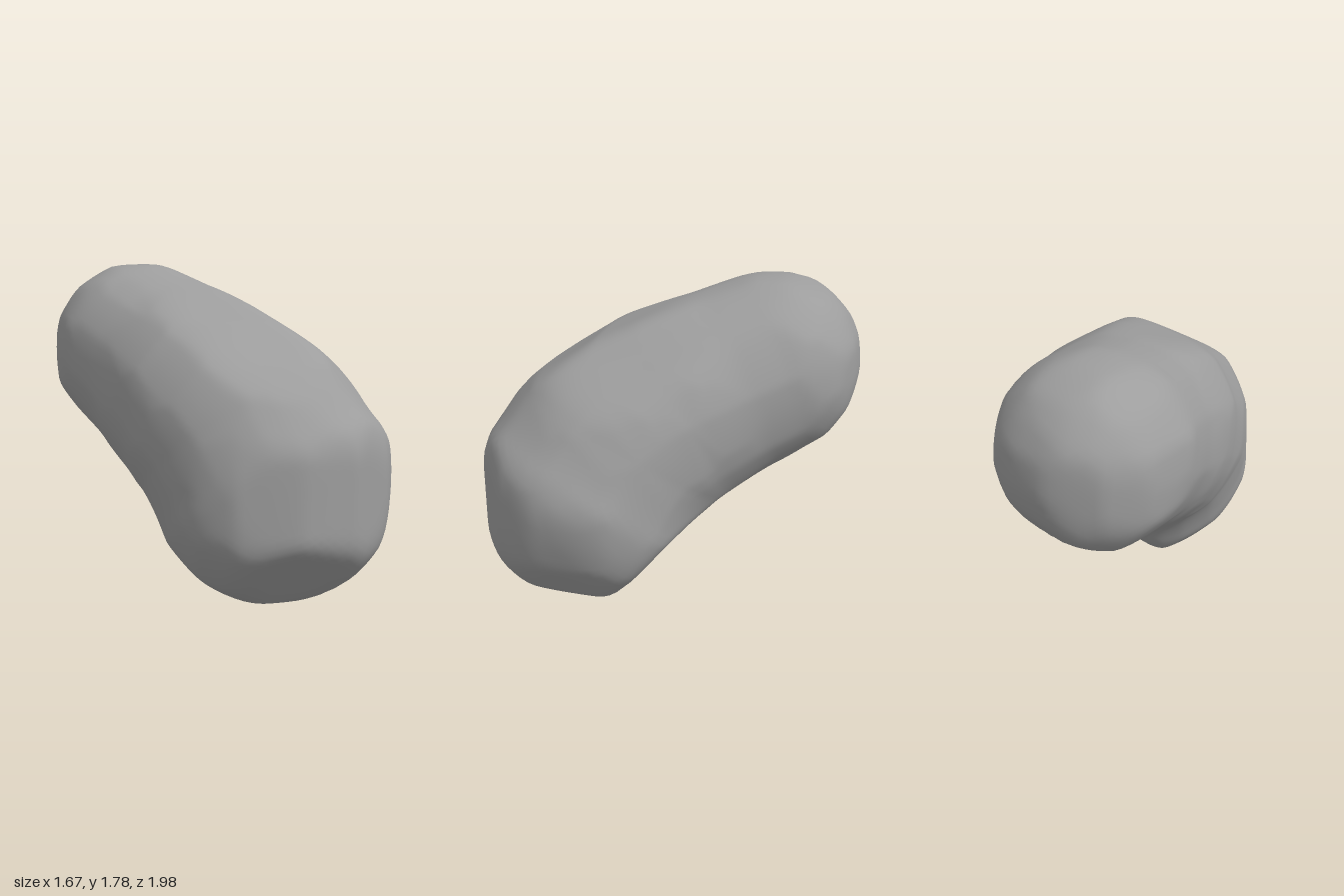
import * as THREE from 'three';
import { mergeVertices } from 'three/addons/utils/BufferGeometryUtils.js';

// Outlines of the boulder along each axis
const FRONT = [ // x, y
  [-.845, 1.13], [-.85, 1.31], [-.82, 1.49], [-.7, 1.68], [-.51, 1.79], [-.24, 1.815], [-.01, 1.7], [.2, 1.55],
  [.71, 1.16], [.84, .8], [.84, .74], [.765, .43], [.59, .2], [.4, .07], [.27, .015], [.14, 0], [0, .015],
  [-.135, .08], [-.28, .19], [-.4, .345], [-.48, .5], [-.54, .66], [-.66, .87], [-.73, .96],
];
const SIDE = [ // z, y
  [1, .47], [.99, .9], [.86, 1.18], [.69, 1.31], [.37, 1.52], [.1, 1.63], [-.14, 1.73], [-.4, 1.81], [-.56, 1.81],
  [-.81, 1.73], [-.91, 1.61], [-.98, 1.47], [-1, 1.28], [-.95, 1.1], [-.855, .96], [-.655, .81], [-.4, .69],
  [-.18, .56], [-.1, .5], [.22, .13], [.35, .045], [.49, 0], [.6, .05], [.8, .25],
];
const TOP = [ // x, z
  [-.46, -1], [-.25, -1], [-.02, -.92], [.14, -.75], [.32, -.47], [.42, -.32], [.61, -.12], [.8, .12], [.845, .4],
  [.83, .52], [.7, .75], [.465, .925], [.17, .99], [-.17, .92], [-.41, .76], [-.54, .5], [-.645, .2],
  [-.825, -.21], [-.845, -.45], [-.84, -.62], [-.72, -.83],
];

// Bent spine: small upper lobe, waist, shoulder, large lower lobe
const SPINE = [
  { p: new THREE.Vector3(-.35, 1.3, -.5), r: .515 },
  { p: new THREE.Vector3(-.08, 1.08, .03), r: .56 },
  { p: new THREE.Vector3(.07, .92, .27), r: .59 },
  { p: new THREE.Vector3(.19, .66, .41), r: .65 },
];

// Evenly spread facet directions
const FACETS = Array.from({ length: 46 }, (_, i) => {
  const y = 1 - (2 * i + 1) / 46, a = i * 2.39996, s = Math.sqrt(1 - y * y);
  return new THREE.Vector3(s * Math.cos(a), y, s * Math.sin(a));
});

const smoothMax = (a, b, k) => {
  const h = Math.max(k - Math.abs(a - b), 0) / k;
  return Math.max(a, b) + h * h * k / 4;
};

// Signed distance from a point to an outline, negative inside
function outlineDistance(poly, x, y) {
  let d = Infinity, inside = false;
  for (let i = 0, j = poly.length - 1; i < poly.length; j = i++) {
    const [ax, ay] = poly[i], [bx, by] = poly[j];
    const ex = bx - ax, ey = by - ay, wx = x - ax, wy = y - ay;
    const t = Math.min(1, Math.max(0, (wx * ex + wy * ey) / (ex * ex + ey * ey)));
    d = Math.min(d, Math.hypot(wx - ex * t, wy - ey * t));
    if ((ay > y) !== (by > y) && x < ax + ex * (y - ay) / ey) inside = !inside;
  }
  return inside ? -d : d;
}

// Distance to the gently faceted tube around the spine
const edge = new THREE.Vector3(), v = new THREE.Vector3();
function bodyDistance(p) {
  let body = 9;
  for (let i = 0; i < SPINE.length - 1; i++) {
    const a = SPINE[i], b = SPINE[i + 1];
    edge.subVectors(b.p, a.p);
    v.subVectors(p, a.p);
    const t = THREE.MathUtils.clamp(v.dot(edge) / edge.lengthSq(), 0, 1);
    v.addScaledVector(edge, -t);
    let facet = 0;
    for (const f of FACETS) facet = Math.max(facet, v.dot(f));
    const d = .65 * v.length() + .35 * facet - THREE.MathUtils.lerp(a.r, b.r, t);
    body = -smoothMax(-body, -d, .12);
  }
  return body;
}

// Body trimmed by the three outlines, with softened edges
function distance(p) {
  let d = bodyDistance(p);
  for (const [poly, x, y] of [[FRONT, p.x, p.y], [SIDE, p.z, p.y], [TOP, p.x, p.z]]) {
    d = smoothMax(d, outlineDistance(poly, x, y) - .008, .045);
  }
  return d;
}

export function createModel() {
  // Push the points of a fine sphere out to the boulder surface
  let geometry = new THREE.IcosahedronGeometry(1, 28);
  geometry.deleteAttribute('uv');
  geometry.deleteAttribute('normal');
  geometry = mergeVertices(geometry, 1e-5);
  const centre = new THREE.Vector3(-.06, 1, .04);
  const pos = geometry.attributes.position;
  const dir = new THREE.Vector3(), p = new THREE.Vector3();
  for (let i = 0; i < pos.count; i++) {
    dir.fromBufferAttribute(pos, i).normalize();
    let lo = 0, hi = 1.7;
    for (let n = 0; n < 18; n++) {
      const mid = (lo + hi) / 2;
      if (distance(p.copy(centre).addScaledVector(dir, mid)) < 0) lo = mid;
      else hi = mid;
    }
    p.copy(centre).addScaledVector(dir, lo);
    pos.setXYZ(i, p.x, p.y, p.z);
  }
  geometry.computeVertexNormals();

  const boulder = new THREE.Mesh(geometry, new THREE.MeshStandardMaterial({ color: 0x9d9d9d }));
  boulder.name = 'boulder';
  const group = new THREE.Group();
  group.name = 'rock';
  group.add(boulder);
  return group;
}
